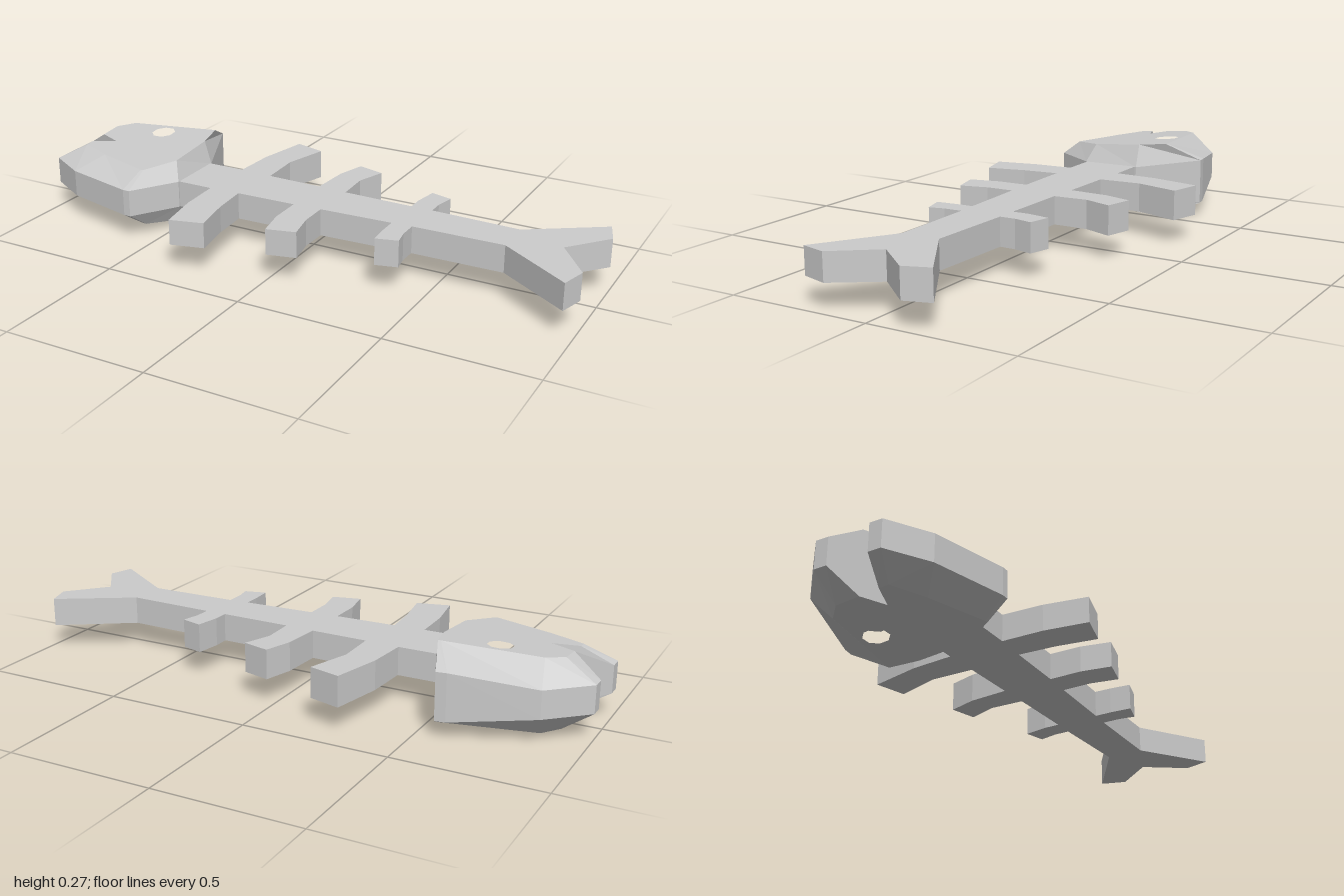
import * as THREE from 'three';

const MID = 0.138; // mid-height of the whole fish
const material = new THREE.MeshStandardMaterial({ color: 0xcccccc, flatShading: true });

// Solid mirrored about MID. Each ring point is [x, z]; belt is the outer wall, cap the upper rim.
// beltH and capH give the half height at (x, z). An optional socket is sunk into both caps.
function mirroredSolid(name, belt, cap, beltH, capH, socket) {
  const pos = [];
  const tri = (a, b, c) => pos.push(...a, ...b, ...c);
  const at = ([x, z], h) => [x, MID + h, z];
  const flip = ([x, y, z]) => [x, 2 * MID - y, z];
  const both = (a, b, c) => {
    tri(a, b, c);
    tri(flip(a), flip(c), flip(b));
  };
  const upward = (a, b, c) => {
    const ny = (b[2] - a[2]) * (c[0] - a[0]) - (b[0] - a[0]) * (c[2] - a[2]);
    if (ny > 0) both(a, b, c);
    else both(a, c, b);
  };

  // Vertical belt and the bevel up to the cap
  belt.forEach((p, i) => {
    const j = (i + 1) % belt.length, q = belt[j];
    const a = at(p, beltH(p)), b = at(q, beltH(q));
    tri(flip(a), b, flip(b));
    tri(flip(a), a, b);
    if (cap === belt) return;
    const c = at(cap[i], capH(cap[i])), d = at(cap[j], capH(cap[j]));
    both(a, d, b);
    both(a, c, d);
  });

  // Flat caps, with the socket cut out
  const hole = [];
  if (socket) {
    for (let i = 0; i < 8; i++) {
      const t = (i + 0.5) * Math.PI / 4;
      hole.push([socket.x + socket.r * Math.cos(t), socket.z + socket.r * Math.sin(t)]);
    }
  }
  const vec = list => list.map(p => new THREE.Vector2(p[0], p[1]));
  const all = [...cap, ...hole].map(p => at(p, capH(p)));
  const faces = THREE.ShapeUtils.triangulateShape(vec(cap), socket ? [vec(hole)] : []);
  for (const [a, b, c] of faces) upward(all[a], all[b], all[c]);

  // Socket wall and floor
  hole.forEach((p, i) => {
    const q = hole[(i + 1) % 8];
    const a = at(p, capH(p)), b = at(q, capH(q));
    const c = at(p, capH(p) - socket.depth), d = at(q, capH(q) - socket.depth);
    const m = [socket.x, socket.z];
    both(a, b, d);
    both(a, d, c);
    upward(at(m, capH(m) - socket.depth), c, d);
  });

  const geometry = new THREE.BufferGeometry();
  geometry.setAttribute('position', new THREE.Float32BufferAttribute(pos, 3));
  geometry.computeVertexNormals();
  const mesh = new THREE.Mesh(geometry, material);
  mesh.name = name;
  return mesh;
}

export function createModel() {
  const group = new THREE.Group();
  group.name = 'fishSkeleton';

  // Head: outer belt and bevelled top rim, both with the mouth notch
  const belt = [
    [-1, -0.06], [-1, -0.105], [-0.87, -0.225], [-0.6, -0.305], [-0.565, -0.31],
    [-0.475, -0.09], [-0.475, 0.12], [-0.575, 0.275], [-0.6, 0.275], [-0.86, 0.21],
    [-1, 0.13], [-1, 0.085], [-0.815, 0.02],
  ];
  const rim = [
    [-0.9, -0.017], [-0.9, -0.1], [-0.85, -0.15], [-0.53, -0.19], [-0.52, -0.19],
    [-0.5, -0.09], [-0.5, 0.09], [-0.565, 0.2], [-0.575, 0.2], [-0.78, 0.135],
    [-0.9, 0.085], [-0.9, 0.052], [-0.815, 0.02],
  ];
  group.add(mirroredSolid('head', belt, rim,
    ([, z]) => (z < -0.28 ? 0.08 : 0.047),
    ([x, z]) => 0.12 - 0.0875 * z + 0.03 * (x + 0.52),
    { x: -0.695, z: -0.11, r: 0.043, depth: 0.04 }));

  // Backbone with curved ribs and forked tail, slightly thicker towards the back
  const ribsBack = [
    [-0.34, -0.085], [-0.33, -0.235], [-0.29, -0.415], [-0.18, -0.385], [-0.225, -0.23], [-0.22, -0.08],
    [-0.02, -0.075], [-0.01, -0.215], [0.02, -0.315], [0.115, -0.29], [0.08, -0.19], [0.085, -0.07],
    [0.335, -0.065], [0.335, -0.12], [0.35, -0.205], [0.425, -0.185], [0.41, -0.12], [0.41, -0.065],
  ];
  const tail = [
    [0.72, -0.055], [0.97, -0.215], [1, -0.125], [0.885, 0.01],
    [0.99, 0.155], [0.965, 0.245], [0.72, 0.08],
  ];
  const ribsFront = [
    [0.405, 0.085], [0.405, 0.15], [0.415, 0.205], [0.34, 0.225], [0.335, 0.15], [0.335, 0.09],
    [0.08, 0.1], [0.08, 0.2], [0.1, 0.3], [0, 0.325], [-0.02, 0.22], [-0.02, 0.105],
    [-0.235, 0.11], [-0.225, 0.24], [-0.2, 0.38], [-0.315, 0.41], [-0.34, 0.26], [-0.345, 0.115],
  ];
  const outline = [[-0.5, -0.085], ...ribsBack, ...tail, ...ribsFront, [-0.5, 0.115]];
  const boneH = ([, z]) => 0.048 - 0.0095 * z;
  group.add(mirroredSolid('backboneRibsAndTail', outline, outline, boneH, boneH));

  return group;
}
